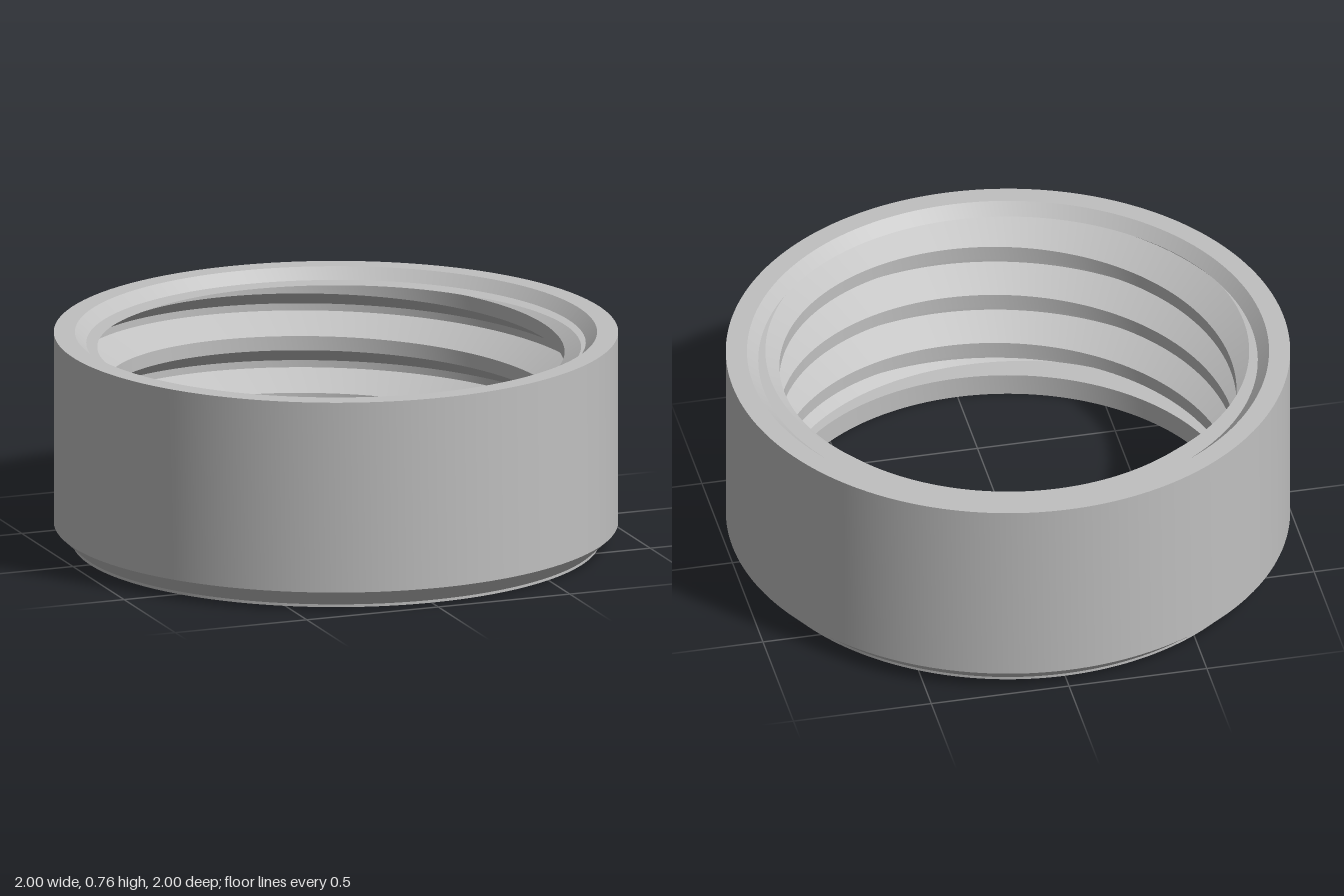
import * as THREE from 'three';

const SEGMENTS = 180;
const PITCH = 0.208, MINOR = 0.81, MAJOR = 0.923;
const THREAD_TOP = 0.725, THREAD_BOTTOM = 0.08;
// One pitch of the thread, downwards from the top of a crest: [height, radius]
const TOOTH = [[0.052, MINOR], [0, MINOR], [-0.065, MAJOR], [-0.091, MAJOR], [-0.156, MINOR]];

// Sweeps a profile of [radius, height] around y; each band keeps its own
// vertices, so edges between bands stay sharp and bands are smooth.
function sweep(profileAt) {
  const positions = [], indices = [];
  const profiles = [];
  for (let j = 0; j <= SEGMENTS; j++) profiles.push(profileAt(j / SEGMENTS));
  for (let k = 0; k < profiles[0].length - 1; k++) {
    const start = positions.length / 3;
    profiles.forEach((profile, j) => {
      const angle = (j / SEGMENTS) * Math.PI * 2;
      for (const [r, y] of [profile[k], profile[k + 1]]) {
        positions.push(r * Math.cos(angle), y, -r * Math.sin(angle));
      }
    });
    for (let j = 0; j < SEGMENTS; j++) {
      const a = start + j * 2, b = a + 2;
      indices.push(a, b, a + 1, b, b + 1, a + 1);
    }
  }
  const geometry = new THREE.BufferGeometry();
  geometry.setAttribute('position', new THREE.Float32BufferAttribute(positions, 3));
  geometry.setIndex(indices);
  geometry.computeVertexNormals();
  return geometry;
}

// Thread radius at a height, for a crest whose lower edge is at base
function threadRadius(y, base) {
  const top = TOOTH[0][0];
  const below = (((base + top - y) % PITCH) + PITCH) % PITCH;
  const h = top - below;
  for (let i = 0; i < TOOTH.length - 1; i++) {
    const [h0, r0] = TOOTH[i], [h1, r1] = TOOTH[i + 1];
    if (h >= h1) return r0 + (r1 - r0) * (h0 - h) / (h0 - h1);
  }
  return MINOR;
}

// Helical thread, cut off flat at both ends and joined to the ledge and the bore
function threadProfile(turn) {
  const base = THREAD_TOP + PITCH * (turn - 125 / 360);
  const points = [[0.885, THREAD_TOP], [threadRadius(THREAD_TOP, base), THREAD_TOP]];
  for (let n = 1; n >= -5; n--) {
    for (const [h, r] of TOOTH.slice(0, 4)) {
      const y = base + n * PITCH + h;
      if (y > THREAD_TOP) points.push([threadRadius(THREAD_TOP, base), THREAD_TOP]);
      else if (y < THREAD_BOTTOM) points.push([threadRadius(THREAD_BOTTOM, base), THREAD_BOTTOM]);
      else points.push([r, y]);
    }
  }
  points.push([threadRadius(THREAD_BOTTOM, base), THREAD_BOTTOM], [0.825, THREAD_BOTTOM]);
  return points;
}

export function createModel() {
  const metal = new THREE.MeshStandardMaterial({ color: 0xc0c0c0 });
  metal.name = 'grey metal';
  const group = new THREE.Group();
  group.name = 'threadedRing';

  const add = (name, profileAt) => {
    const mesh = new THREE.Mesh(sweep(profileAt), metal);
    mesh.name = name;
    group.add(mesh);
  };

  // Plain bore, base, chamfered outer wall, rim and inner chamfer
  const shell = [
    [0.825, THREAD_BOTTOM], [0.825, 0], [0.935, 0], [0.935, 0.01], [1, 0.07],
    [1, 0.765], [0.925, 0.765], [0.885, THREAD_TOP],
  ];
  add('ringBody', () => shell);
  add('innerThread', threadProfile);
  return group;
}
